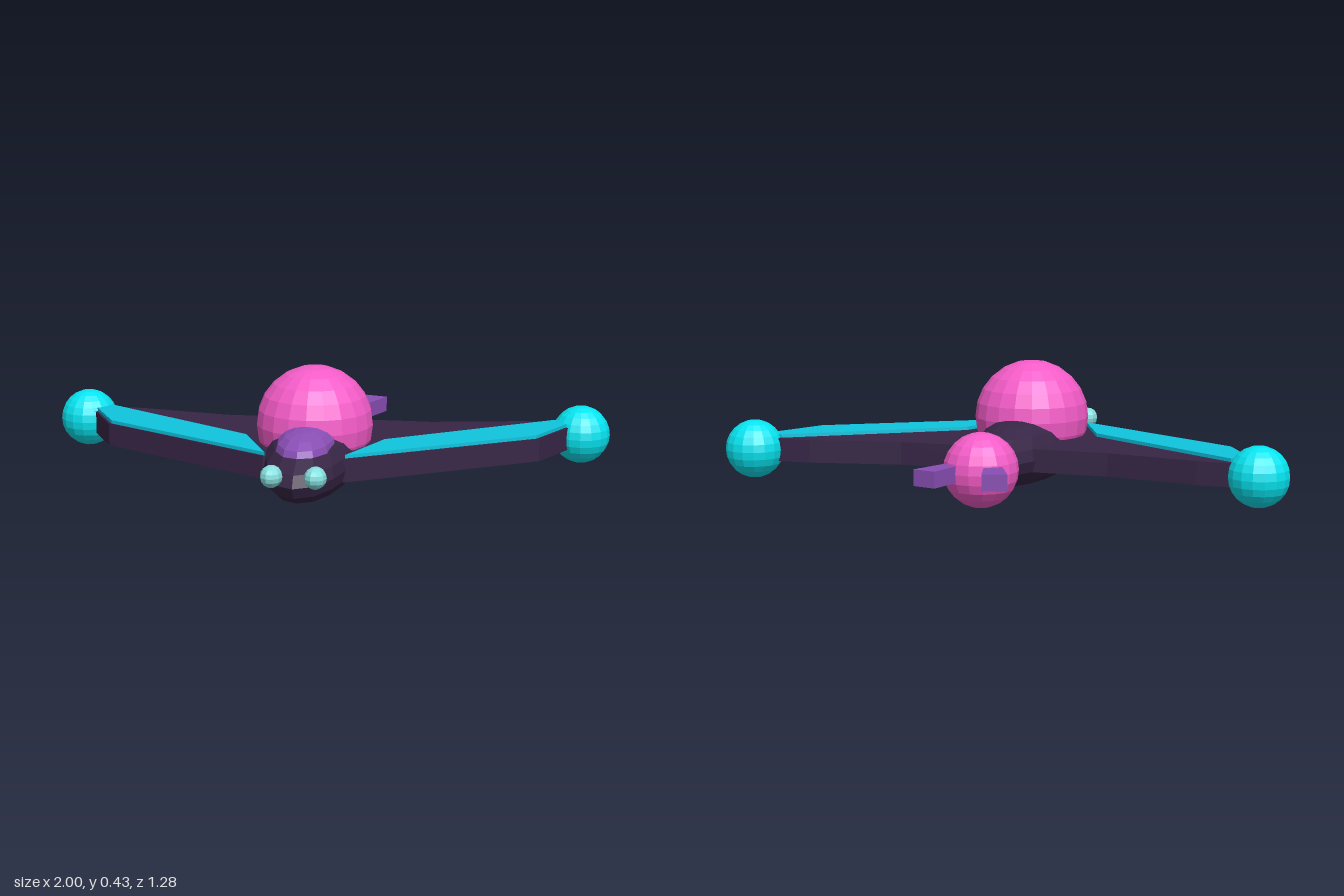
import * as THREE from 'three';

const paint = (color) => new THREE.MeshStandardMaterial({ color, flatShading: true });

export function createModel() {
  const model = new THREE.Group();
  const dark = paint(0x372646);
  const pink = paint(0xf45cc8);
  const cyan = paint(0x06e4f0);
  const stripe = paint(0x0fc4de);
  const purple = paint(0x8a4fb5);
  const pale = paint(0x86dede);

  const add = (name, geometry, material) => {
    const mesh = new THREE.Mesh(geometry, material);
    mesh.name = name;
    model.add(mesh);
    return mesh;
  };

  // Faceted ellipsoid: centre, radii and segment counts
  const ellipsoid = (name, material, centre, radii, across, rows) => {
    const mesh = add(name, new THREE.SphereGeometry(1, across, rows), material);
    mesh.position.set(...centre);
    mesh.scale.set(...radii);
  };

  // Flat plate from an [x, z] outline between two heights; side mirrors x
  const plate = (name, material, outline, side, y0, y1) => {
    const shape = new THREE.Shape(outline.map(([x, z]) => new THREE.Vector2(x * side, -z)));
    const geometry = new THREE.ExtrudeGeometry(shape, { depth: y1 - y0, bevelEnabled: false });
    geometry.rotateX(-Math.PI / 2).translate(0, y0, 0);
    add(name, geometry, material);
  };

  // Fuselage, dome, canopy and tail ball
  ellipsoid('body', dark, [0, 0.13, 0.13], [0.16, 0.125, 0.49], 16, 10);
  ellipsoid('dome', pink, [0, 0.232, 0.13], [0.2, 0.2, 0.2], 20, 12);
  ellipsoid('canopy', purple, [0, 0.2, 0.325], [0.1, 0.065, 0.2], 12, 8);
  ellipsoid('tailBall', pink, [0, 0.13, -0.42], [0.126, 0.126, 0.126], 16, 12);

  const wingOutline = [
    [0, 0.365], [0.14, 0.365], [0.76, -0.005], [0.86, -0.19],
    [0.86, -0.265], [0.69, -0.255], [0.37, -0.197], [0, -0.197],
  ];
  const stripeOutline = [
    [0.135, 0.36], [0.75, -0.005], [0.85, -0.19], [0.85, -0.24], [0.8, -0.24], [0.24, 0.125],
  ];
  const finOutline = [[0.03, -0.47], [0.08, -0.645], [0.16, -0.623], [0.089, -0.47]];

  // Mirrored parts
  for (const [label, side] of [['left', 1], ['right', -1]]) {
    plate(label + 'Wing', dark, wingOutline, side, 0.09, 0.17);
    plate(label + 'WingStripe', stripe, stripeOutline, side, 0.165, 0.182);
    plate(label + 'TailFin', purple, finOutline, side, 0.103, 0.158);
    ellipsoid(label + 'WingTipBall', cyan, [0.897 * side, 0.13, -0.257], [0.102, 0.102, 0.102], 16, 12);
    ellipsoid(label + 'NoseLight', pale, [0.072 * side, 0.163, 0.592], [0.037, 0.037, 0.044], 10, 8);
  }

  return model;
}
